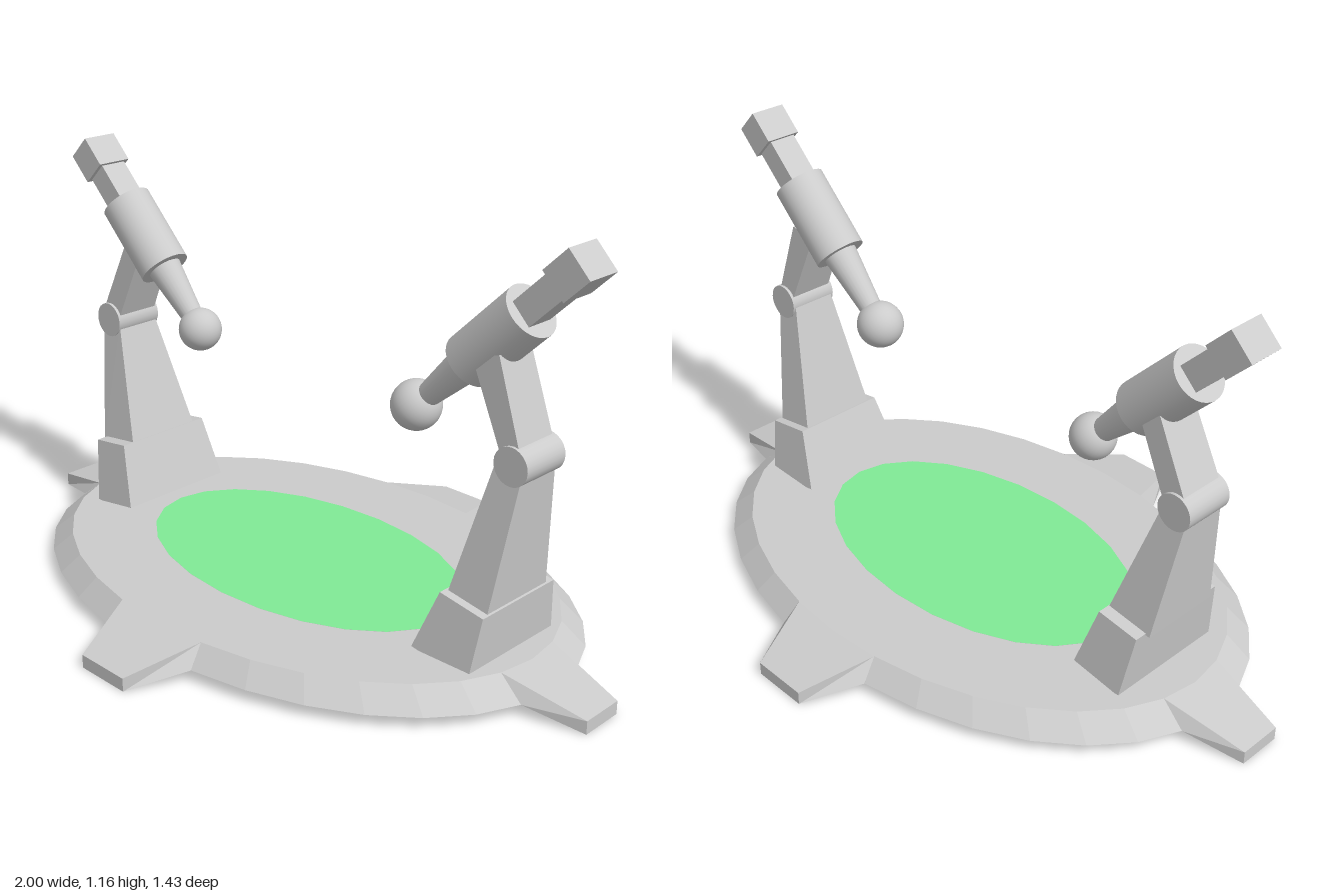
import * as THREE from 'three';

const grey = new THREE.MeshStandardMaterial({ color: 0xcccccc, side: THREE.DoubleSide });
const flat = new THREE.MeshStandardMaterial({ color: 0xcccccc, side: THREE.DoubleSide, flatShading: true });
const green = new THREE.MeshStandardMaterial({ color: 0x80ea96, side: THREE.DoubleSide });

function add(parent, name, geometry, material, x = 0, y = 0, z = 0) {
  const mesh = new THREE.Mesh(geometry, material);
  mesh.name = name;
  mesh.position.set(x, y, z);
  parent.add(mesh);
  return mesh;
}

// Six-sided block from four lower and four upper corners, counter-clockwise from above
function block(lower, upper, skipSide = -1) {
  const p = [...lower, ...upper];
  const quads = [[3, 2, 1, 0], [4, 5, 6, 7]];
  for (let i = 0; i < 4; i++) {
    const j = (i + 1) % 4;
    if (i !== skipSide) quads.push([i, j, j + 4, i + 4]);
  }
  const pos = [];
  for (const [a, b, c, d] of quads) for (const k of [a, b, c, a, c, d]) pos.push(...p[k]);
  const g = new THREE.BufferGeometry();
  g.setAttribute('position', new THREE.Float32BufferAttribute(pos, 3));
  g.computeVertexNormals();
  return g;
}

// Tapered limb: side outline [lower left, lower right, upper right, upper left] and half depths
function limb([a, b, c, d], zLow, zHigh) {
  const ring = (l, r, z) => [[...l, z], [...r, z], [...r, -z], [...l, -z]];
  return block(ring(a, b, zLow), ring(d, c, zHigh));
}

function ellipse(rx, rz, n) {
  return Array.from({ length: n }, (_, i) => {
    const t = (i / n) * Math.PI * 2;
    return new THREE.Vector2(rx * Math.cos(t), rz * Math.sin(t));
  });
}

function makePlatform() {
  const g = new THREE.Group();
  g.name = 'platform';

  // Deck with the green field set into it
  const field = ellipse(0.52, 0.31, 24);
  const deck = new THREE.Shape(ellipse(0.79, 0.53, 32));
  deck.holes.push(new THREE.Path(field));
  add(g, 'deck', new THREE.ShapeGeometry(deck).rotateX(-Math.PI / 2), flat, 0, 0.09);
  add(g, 'field', new THREE.ShapeGeometry(new THREE.Shape(field)).rotateX(-Math.PI / 2), green, 0, 0.0905);

  // Sloped skirt in four arcs, with a foot in each gap
  const step = Math.PI / 16;
  for (let k = 0; k < 4; k++) {
    const skirt = new THREE.CylinderGeometry(1, 1.09, 0.055, 6, 1, true, k * Math.PI / 2 + step, 6 * step);
    add(g, 'skirt', skirt.scale(0.79, 1, 0.53), flat, 0, 0.0625);

    // half widths: outer, inner top, inner bottom; distances: outer, inner top, inner bottom
    const [w, wt, wb, r, rt, rb] = k % 2
      ? [0.062, 0.104, 0.113, 1, 0.775, 0.845]
      : [0.08, 0.155, 0.168, 0.713, 0.52, 0.567];
    const foot = block(
      [[-w, 0, r], [w, 0, r], [wb, 0.035, rb], [-wb, 0.035, rb]],
      [[-w, 0.037, r], [w, 0.037, r], [wt, 0.09, rt], [-wt, 0.09, rt]], 2);
    add(g, 'foot', foot, flat).rotation.y = k * Math.PI / 2;
  }
  return g;
}

function makeArm(name, s) {
  const g = new THREE.Group();
  g.name = name;
  add(g, 'armBase', limb(s.base, ...s.baseDepth), flat);
  add(g, 'lowerArm', limb(s.lower, 0.117, 0.065), flat);
  add(g, 'elbow', new THREE.CylinderGeometry(0.05, 0.05, 0.146, 24).rotateX(Math.PI / 2), grey, ...s.elbow);
  add(g, 'upperArm', limb(s.upper, 0.065, 0.06), flat);

  // Head assembly, built along its own axis starting at the ball
  const head = new THREE.Group();
  head.name = 'head';
  const dx = s.cap[0] - s.ball[0], dy = s.cap[1] - s.ball[1];
  const len = Math.hypot(dx, dy);
  head.position.set(...s.ball, 0);
  head.rotation.z = Math.atan2(-dx, dy);
  g.add(head);

  const [start, end] = s.body;
  add(head, 'ball', new THREE.SphereGeometry(s.ballRadius, 32, 20), grey);
  add(head, 'nozzle', new THREE.CylinderGeometry(0.048, 0.026, start, 24), grey, 0, start / 2);
  add(head, 'headBody', new THREE.CylinderGeometry(0.072, 0.072, end - start, 32), grey, 0, (start + end) / 2);
  add(head, 'neck', new THREE.BoxGeometry(0.07, len - end, 0.08), flat, 0, (len + end) / 2);
  add(head, 'endCap', new THREE.BoxGeometry(0.088, 0.092, 0.104), flat, 0, len);
  return g;
}

export function createModel() {
  const model = new THREE.Group();
  model.name = 'twinArmPlatform';
  model.add(makePlatform());
  model.add(makeArm('leftArm', {
    base: [[0.543, 0.094], [0.722, 0.066], [0.74, 0.236], [0.605, 0.258]],
    baseDepth: [0.168, 0.14],
    lower: [[0.61, 0.25], [0.733, 0.23], [0.775, 0.59], [0.698, 0.61]],
    elbow: [0.747, 0.613, 0],
    upper: [[0.715, 0.62], [0.77, 0.635], [0.69, 0.87], [0.61, 0.85]],
    ball: [0.395, 0.65], ballRadius: 0.066, cap: [0.853, 1.094], body: [0.229, 0.465],
  }));
  model.add(makeArm('rightArm', {
    base: [[-0.688, 0.088], [-0.537, 0.111], [-0.59, 0.285], [-0.713, 0.268]],
    baseDepth: [0.178, 0.152],
    lower: [[-0.725, 0.262], [-0.59, 0.278], [-0.695, 0.615], [-0.767, 0.595]],
    elbow: [-0.735, 0.62, 0],
    upper: [[-0.762, 0.65], [-0.698, 0.625], [-0.595, 0.845], [-0.655, 0.87]],
    ball: [-0.412, 0.652], ballRadius: 0.061, cap: [-0.832, 1.076], body: [0.208, 0.438],
  }));
  return model;
}
